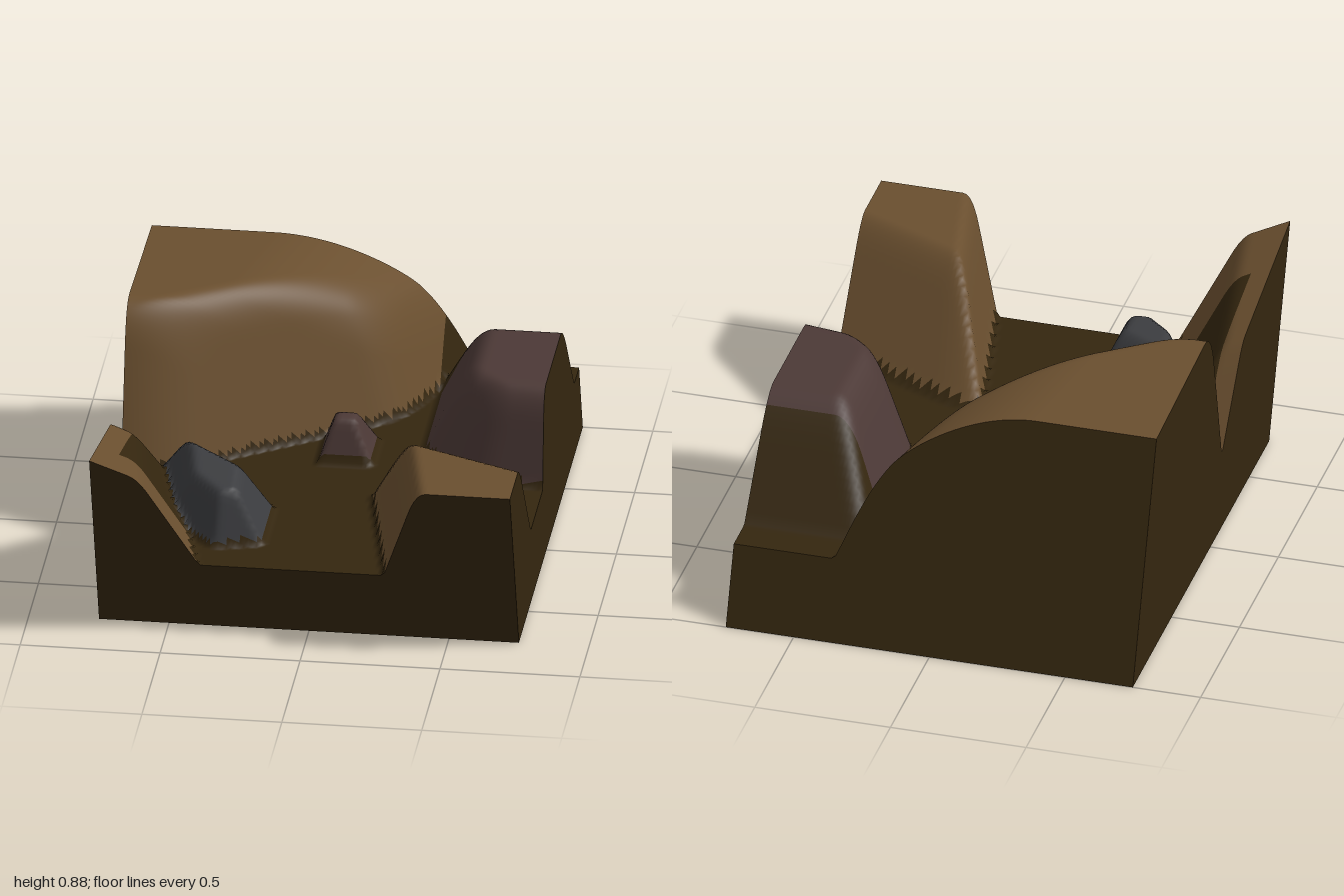
import * as THREE from 'three';

const FLOOR = 0.285, LEAN = 0.36, HALF = 0.75, BACK = -1, FRONT = 0.755;
const NX = 100, NW = 116;

// Minimum of two heights with the crease rounded over a band k
function softMin(a, b, k) {
  const t = Math.max(k - Math.abs(a - b), 0) / k;
  return Math.min(a, b) - t * t * k / 4;
}

// A sloping plane: height at (x0, w0), with its fall along x and along depth w
const plane = (y, x0, w0, gx, gw) => (x, w) => y - gx * (x - x0) - gw * (w - w0);

// A mound: a top plane and sides rising from the floor, with rounded shoulders.
// soil() marks the slopes covered by bare earth.
function mound(name, paint, round, [topY, topX = 0, topW = 0], sides, soil = () => false) {
  const top = plane(topY, 0, 0, topX, topW);
  const faces = sides.map(side => plane(FLOOR, ...side));
  const height = (x, w) => faces.reduce((h, face) => softMin(h, face(x, w), round), top(x, w));
  return { name, paint, height, soil };
}

const backMound = mound('largeBackMound', 'sand', 0.16, [0.9, 0, -0.05],
  [[-0.75, 0.046, 0, 1.7], [-0.1, -0.3, 1.1, 1.6], [0.38, -1, 2.4, 0.9], [0.72, -1, 0.7, 0.1]],
  x => x > 0.28);

const redBoulder = mound('redBoulder', 'redRock', 0.13, [0.66],
  [[0.75, 0, -0.3, 2.2], [0.75, -0.866, 0, -2.1], [0.38, -0.14, -1.6, 1.6], [0.29, -0.5, -2.2, 0]],
  (x, w) => w < -0.7);

const rightMound = mound('rightFrontMound', 'sand', 0.1, [0.685],
  [[0.75, 0.326, 1, -2.3], [0.28, 0.755, -3, 0.6], [0.2, 0.1, 0, -2]]);

const leftMound = mound('leftFrontMound', 'sand', 0.05, [0.22, 0.45, -0.26],
  [[-0.38, 0.755, 1.95, -0.5], [-0.75, 0.033, 0.5, -2]],
  (x, w) => x > -0.68 && w < 0.55);

const greyBoulder = mound('greyBoulder', 'greyRock', 0.04, [0.57, 0, 0.15],
  [[-0.17, 0.4, 2.2, 0], [-0.3, 0.16, 1.3, -1.6], [-0.5, 0.03, -0.3, -2],
    [-0.3, 0.61, 0.5, 1.9], [-0.42, 0.55, -1.6, 1.6], [-0.6, 0.2, -2, 0.5]]);

const smallRock = mound('smallRedRock', 'redRock', 0.03, [0.455],
  [[0.13, 0, 2.6, 0], [-0.07, 0, -3, 0], [0, -0.1, 0, 1.8], [0, -0.33, 0, -2.5]]);

const mounds = [backMound, redBoulder, rightMound, leftMound, greyBoulder, smallRock];

// Height of the ground and the mound that forms it
function ground(x, w) {
  let y = FLOOR, owner = null;
  for (const m of mounds) {
    const h = m.height(x, w);
    if (h > y) { y = h; owner = m; }
  }
  return { y, owner };
}

const xAt = i => -HALF + 2 * HALF * i / NX;
const wAt = j => BACK + (FRONT - BACK) * j / NW;

export function createModel() {
  const group = new THREE.Group();
  const colors = { earth: 0x34260f, sand: 0x6a4f2f, redRock: 0x4c3936, greyRock: 0x3c3d40 };
  const materials = {};
  for (const [name, color] of Object.entries(colors)) {
    materials[name] = new THREE.MeshStandardMaterial({ color });
    materials[name].name = name;
  }
  const add = (name, geometry, paint) => {
    const mesh = new THREE.Mesh(geometry, materials[paint]);
    mesh.name = name;
    group.add(mesh);
  };

  // Ground surface, leaning forward with height
  const points = [];
  for (let j = 0; j <= NW; j++) {
    for (let i = 0; i <= NX; i++) {
      const { y } = ground(xAt(i), wAt(j));
      points.push(xAt(i), y, wAt(j) + LEAN * y);
    }
  }
  const id = (i, j) => j * (NX + 1) + i;

  // Sort the cells by the part they belong to
  const parts = { groundFloor: [] };
  mounds.forEach(m => { parts[m.name] = []; });
  const all = [];
  for (let j = 0; j < NW; j++) {
    for (let i = 0; i < NX; i++) {
      const x = xAt(i + 0.5), w = wAt(j + 0.5);
      const { y, owner } = ground(x, w);
      const bare = !owner || y < FLOOR + 0.03 || owner.soil(x, w);
      const a = id(i, j), b = id(i + 1, j), c = id(i, j + 1), d = id(i + 1, j + 1);
      const faces = [a, c, b, b, c, d];
      parts[bare ? 'groundFloor' : owner.name].push(...faces);
      all.push(...faces);
    }
  }
  const surface = new THREE.BufferGeometry();
  surface.setAttribute('position', new THREE.Float32BufferAttribute(points, 3));
  surface.setIndex(all);
  surface.computeVertexNormals();
  const pick = index => {
    const part = surface.clone();
    part.setIndex(index);
    return part.toNonIndexed();
  };
  add('groundFloor', pick(parts.groundFloor), 'earth');
  mounds.forEach(m => add(m.name, pick(parts[m.name]), m.paint));

  // Cut walls around the block, then its underside
  const rim = [];
  for (let i = 0; i < NX; i++) rim.push([i, NW]);
  for (let j = NW; j > 0; j--) rim.push([NX, j]);
  for (let i = NX; i > 0; i--) rim.push([i, 0]);
  for (let j = 0; j < NW; j++) rim.push([0, j]);
  const top = ([i, j]) => points.slice(id(i, j) * 3, id(i, j) * 3 + 3);
  const foot = ([i, j]) => [xAt(i), 0, wAt(j)];
  const walls = [];
  rim.forEach((p, n) => {
    const q = rim[(n + 1) % rim.length];
    walls.push(...foot(p), ...foot(q), ...top(q), ...foot(p), ...top(q), ...top(p));
  });
  const wallGeometry = new THREE.BufferGeometry();
  wallGeometry.setAttribute('position', new THREE.Float32BufferAttribute(walls, 3));
  wallGeometry.computeVertexNormals();
  add('cutWalls', wallGeometry, 'earth');

  const base = new THREE.PlaneGeometry(2 * HALF, FRONT - BACK);
  base.rotateX(Math.PI / 2).translate(0, 0, (FRONT + BACK) / 2);
  add('underside', base, 'earth');
  return group;
}
